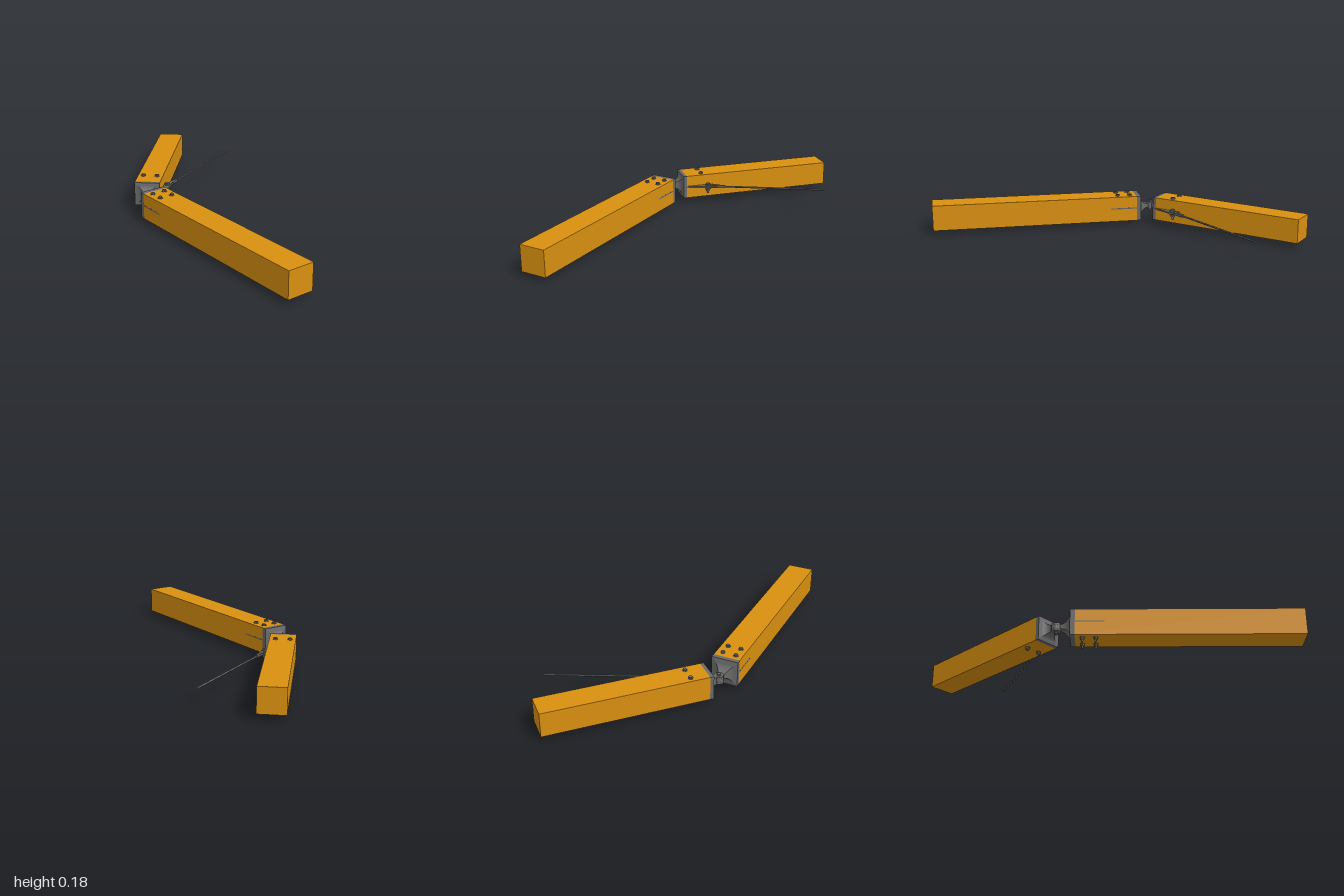
import * as THREE from 'three';

const wood = new THREE.MeshStandardMaterial({ color: 0xd9900f });
const steel = new THREE.MeshStandardMaterial({ color: 0x6a6a6a, flatShading: true });

function add(parent, name, geometry, material, x = 0, y = 0, z = 0) {
  const mesh = new THREE.Mesh(geometry, material);
  mesh.name = name;
  mesh.position.set(x, y, z);
  parent.add(mesh);
  return mesh;
}

// Upright cylinder between two heights
function disc(parent, name, r, y0, y1, x, z, sides = 20) {
  return add(parent, name, new THREE.CylinderGeometry(r, r, y1 - y0, sides), steel, x, (y0 + y1) / 2, z);
}

// Hex bolt with washers, nut and a protruding threaded tip
function bolt(parent, name, x, z, top, bottom, drop, s = 1) {
  const g = new THREE.Group();
  g.name = name;
  disc(g, 'topWasher', 0.014 * s, top, top + 0.002, 0, 0);
  disc(g, 'boltHead', 0.011 * s, top + 0.002, top + 0.009, 0, 0, 6);
  disc(g, 'bottomWasher', 0.014 * s, bottom - 0.002, bottom, 0, 0);
  disc(g, 'nut', 0.011 * s, bottom - 0.011, bottom - 0.002, 0, 0, 6);
  disc(g, 'shank', 0.005 * s, bottom - drop, top, 0, 0, 12);
  g.position.set(x, 0, z);
  parent.add(g);
}

// Square horn flaring with a concave curve from the eye to the end cap
function hornGeometry(x0, x1, h0, w0, h1, w1) {
  const steps = 10, pos = [], idx = [];
  for (let i = 0; i <= steps; i++) {
    const t = i / steps;
    const k = 1 - Math.sqrt(1 - t * t * 0.999);
    const h = h0 + (h1 - h0) * k, w = w0 + (w1 - w0) * k, x = x0 + (x1 - x0) * t;
    pos.push(x, -h, -w, x, -h, w, x, h, w, x, h, -w);
  }
  for (let i = 0; i < steps; i++) {
    for (let j = 0; j < 4; j++) {
      const a = i * 4 + j, b = i * 4 + (j + 1) % 4;
      idx.push(a, a + 4, b, b, a + 4, b + 4);
    }
  }
  idx.push(0, 1, 2, 0, 2, 3);
  const g = new THREE.BufferGeometry();
  g.setAttribute('position', new THREE.Float32BufferAttribute(pos, 3));
  g.setIndex(idx);
  g.computeVertexNormals();
  // Orient faces outward (the first side faces down)
  const n = g.index.array, p = g.attributes.position;
  const v = [0, 1, 2].map((i) => new THREE.Vector3().fromBufferAttribute(p, n[i]));
  const down = v[1].sub(v[0]).cross(v[2].sub(v[0])).y < 0;
  if (!down) {
    for (let i = 0; i < n.length - 6; i += 3) [n[i], n[i + 1]] = [n[i + 1], n[i]];
  }
  for (let i = n.length - 6; i < n.length; i += 3) [n[i + 1], n[i + 2]] = [n[i + 2], n[i + 1]];
  // End cap triangles must face -x
  const e = [0, 1, 2].map((i) => new THREE.Vector3().fromBufferAttribute(p, n[n.length - 6 + i]));
  if (e[1].sub(e[0]).cross(e[2].sub(e[0])).x > 0) {
    for (let i = n.length - 6; i < n.length; i += 3) [n[i + 1], n[i + 2]] = [n[i + 2], n[i + 1]];
  }
  g.computeVertexNormals();
  return g;
}

// Flat horizontal plate from an (x, z) outline, centred on height y
function plate(parent, name, shape, thick, y = 0) {
  const g = new THREE.ExtrudeGeometry(shape, { depth: thick, bevelEnabled: false, curveSegments: 16 });
  g.rotateX(Math.PI / 2);
  return add(parent, name, g, steel, 0, y + thick / 2, 0);
}

// Timber, end cap and horn, running along local +x from the hinge pin
function arm(name, o) {
  const g = new THREE.Group();
  g.name = name;
  add(g, 'timber', new THREE.BoxGeometry(o.end - o.start, o.hh * 2, o.hw * 2), wood, (o.start + o.end) / 2);
  add(g, 'endCap', new THREE.BoxGeometry(o.cap, o.hh * 2, o.hw * 2), steel, o.start - o.cap / 2);
  add(g, 'horn', hornGeometry(0.02, o.start - o.cap, o.eye, 0.019, o.hh * 0.97, o.hw * 0.97), steel);
  for (const [x, z] of o.bolts) bolt(g, 'timberBolt', x, z, o.hh, -o.hh, o.drop);
  return g;
}

export function createModel() {
  const model = new THREE.Group();
  const hinge = new THREE.Group();
  hinge.name = 'hingedBeams';
  hinge.position.set(-0.3775, 0.0965, -0.257);
  model.add(hinge);

  // Long beam with a single tongue and a knife plate let into the timber
  const longBeam = arm('longBeam', {
    start: 0.097, end: 1.257, cap: 0.025, hh: 0.0715, hw: 0.0725, eye: 0.012, drop: 0.025,
    bolts: [[0.133, -0.036], [0.133, 0.036], [0.202, -0.036], [0.202, 0.036]],
  });
  longBeam.rotation.y = -Math.PI / 2;
  hinge.add(longBeam);
  add(longBeam, 'knifePlate', new THREE.BoxGeometry(0.15, 0.007, 0.146), steel, 0.172, 0.003);
  disc(longBeam, 'tongueEye', 0.025, -0.011, 0.011, 0, 0);

  // Angled beam with a forked end
  const shortBeam = arm('angledBeam', {
    start: 0.076, end: 0.943, cap: 0.02, hh: 0.066, hw: 0.0695, eye: 0.021, drop: 0.017,
    bolts: [[0.17, -0.039], [0.17, 0.037]],
  });
  const heading = Math.atan2(0.731, 0.682);
  shortBeam.rotation.y = heading;
  hinge.add(shortBeam);
  for (const s of [-1, 1]) {
    disc(shortBeam, 'forkEye', 0.025, s * 0.0165 - 0.005, s * 0.0165 + 0.005, 0, 0);
  }
  bolt(hinge, 'hingePin', 0, 0, 0.0215, -0.0215, 0.017);

  // Side ear carrying the tie rod
  const px = 0.197, pz = 0.09, r = 0.021;
  const ear = new THREE.Shape();
  ear.moveTo(0.06, 0.04);
  ear.lineTo(0.06, 0.07);
  ear.lineTo(px - 0.006, pz + r);
  ear.absarc(px, pz, r, Math.PI / 2 + 0.2, -0.3, true);
  ear.lineTo(0.24, 0.06);
  ear.lineTo(0.24, 0.04);
  const hole = new THREE.Path();
  hole.absarc(px, pz, 0.005, 0, Math.PI * 2, false);
  ear.holes.push(hole);
  plate(shortBeam, 'rodEar', ear, 0.008, 0.001);

  // Tie rod with a forked end pinned to the ear
  const rod = new THREE.Group();
  rod.name = 'tieRod';
  rod.position.set(0.2005, 0.001, -0.083);
  rod.rotation.y = Math.atan2(0.275, 0.617);
  hinge.add(rod);
  for (const s of [-1, 1]) {
    const strap = new THREE.Shape();
    strap.absarc(0, 0, 0.016, Math.PI / 2, Math.PI * 1.5, false);
    strap.lineTo(0.035, -0.009);
    strap.lineTo(0.095, -0.007);
    strap.lineTo(0.095, 0.007);
    strap.lineTo(0.035, 0.009);
    plate(rod, 'forkStrap', strap, 0.003, s * 0.006);
  }
  add(rod, 'forkSocket', new THREE.BoxGeometry(0.04, 0.01, 0.012), steel, 0.075);
  const bar = add(rod, 'rodBar', new THREE.CylinderGeometry(0.005, 0.005, 0.6, 16), steel, 0.375);
  bar.rotation.z = Math.PI / 2;
  bolt(rod, 'rodPin', 0, 0, 0.0075, -0.0135, 0.027, 1.15);

  return model;
}
